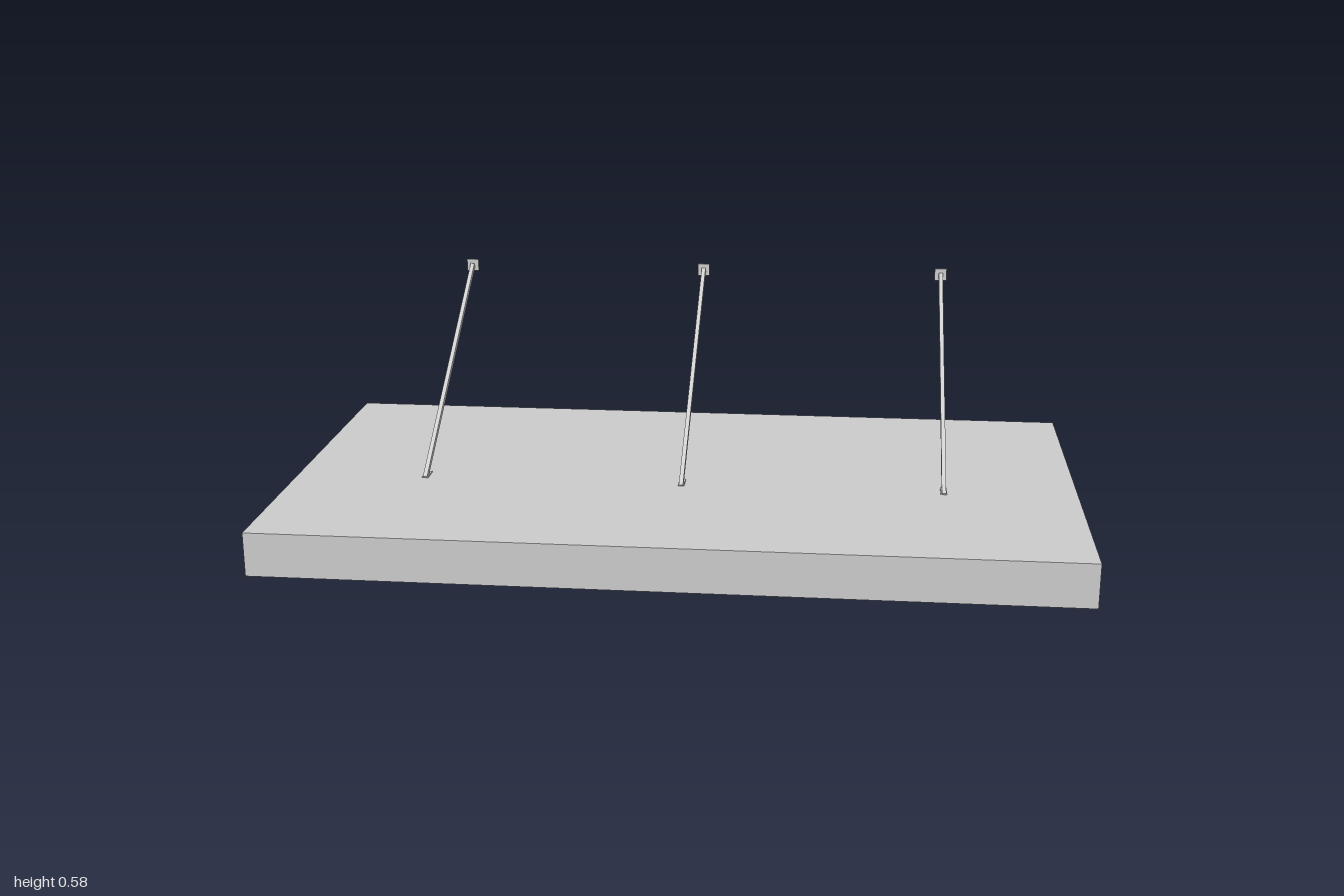
import * as THREE from 'three';

export function createModel() {
  const group = new THREE.Group();
  group.name = 'canopy';
  const grey = new THREE.MeshStandardMaterial({ color: 0xcacaca, side: THREE.DoubleSide });
  grey.name = 'light grey';

  const add = (name, geometry, x, y, z, rx = 0, ry = 0) => {
    const mesh = new THREE.Mesh(geometry, grey);
    mesh.name = name;
    mesh.position.set(x, y, z);
    mesh.rotation.set(rx, ry, 0);
    group.add(mesh);
    return mesh;
  };

  // Thin-walled canopy box, open at the back
  const D = 0.5425, bottom = 0.03, top = 0.14;
  const H = top - bottom, midY = (top + bottom) / 2;
  add('roofPanel', new THREE.PlaneGeometry(2, D * 2), 0, top, 0, -Math.PI / 2);
  add('soffitPanel', new THREE.PlaneGeometry(2, D * 2), 0, bottom, 0, Math.PI / 2);
  add('frontFascia', new THREE.PlaneGeometry(2, H), 0, midY, D);
  for (const s of [-1, 1]) {
    add(s > 0 ? 'leftFascia' : 'rightFascia', new THREE.PlaneGeometry(D * 2, H), s, midY, 0, 0, s * Math.PI / 2);
  }

  // Rows of small bulbs under the soffit
  const profile = [[0, 0], [0.009, 0.001], [0.014, 0.004], [0.0165, 0.01], [0.018, 0.02], [0.0195, 0.03]];
  const bulb = new THREE.LatheGeometry(profile.map(([r, y]) => new THREE.Vector2(r, y)), 16);
  for (let i = 0; i < 14; i++) {
    for (let j = 0; j < 7; j++) {
      add('bulb', bulb, -0.918 + i * 0.1425, 0, 0.465 - j * 0.142);
    }
  }

  // Sloping stay rods with a roof foot and a wall plate
  const low = new THREE.Vector2(0.105, 0.138), high = new THREE.Vector2(-0.538, 0.564); // z, y
  const dz = high.x - low.x, dy = high.y - low.y;
  const rod = new THREE.BoxGeometry(0.011, 0.014, Math.hypot(dz, dy));
  const foot = new THREE.BoxGeometry(0.016, 0.004, 0.046);
  const plate = new THREE.BoxGeometry(0.033, 0.033, 0.003);
  for (const x of [-0.665, 0, 0.665]) {
    add('stayRod', rod, x, (low.y + high.y) / 2, (low.x + high.x) / 2, Math.atan2(dy, -dz));
    add('rodFoot', foot, x, top + 0.001, 0.084);
    add('wallPlate', plate, x, 0.564, -D + 0.0015);
  }
  return group;
}
